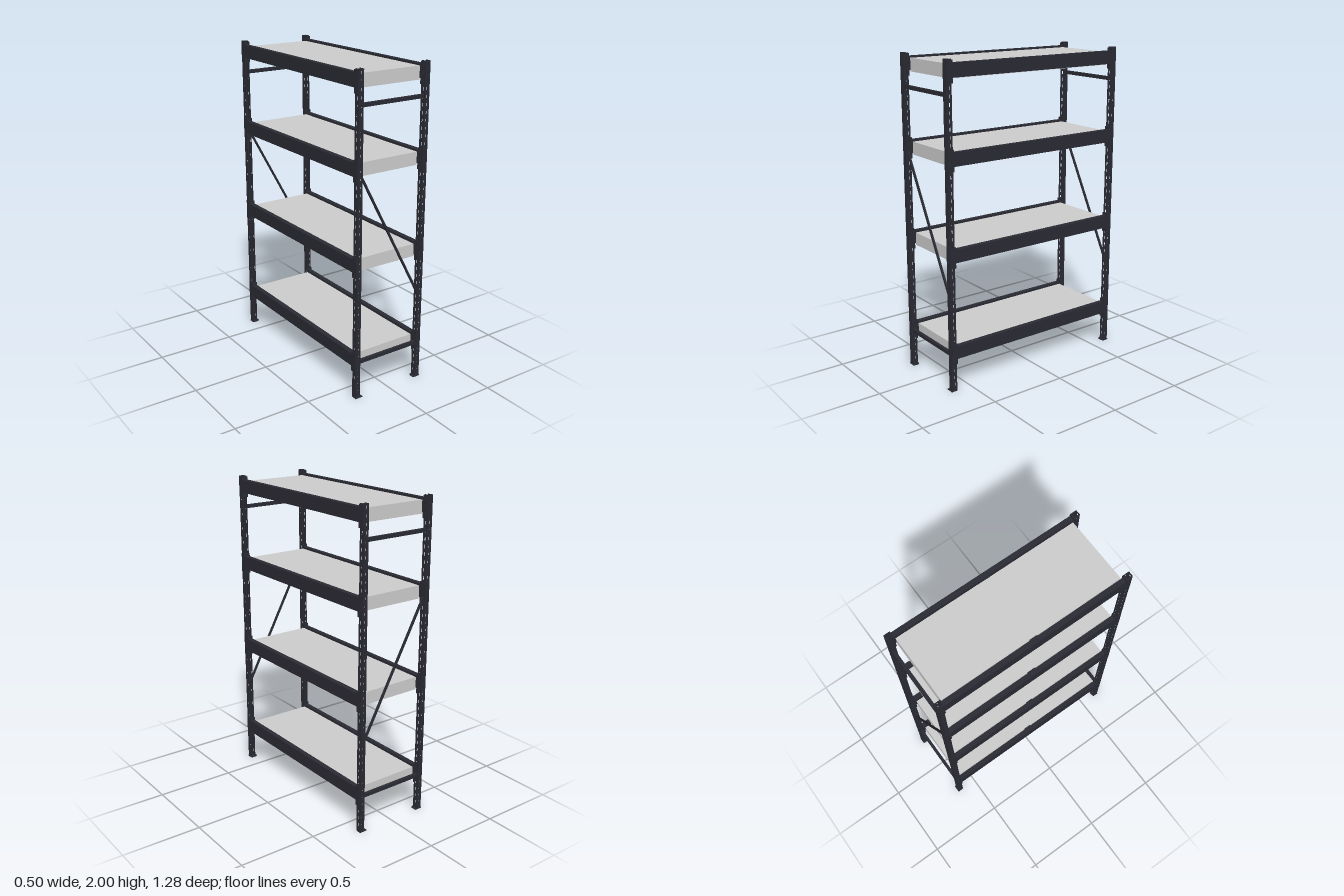
import * as THREE from 'three';

const steel = new THREE.MeshStandardMaterial({ color: 0x2a2a33 });
steel.name = 'dark steel';
const panel = new THREE.MeshStandardMaterial({ color: 0xcccccc });
panel.name = 'light grey panel';

const POST_X = 0.232, POST_Z = 0.619, POST_W = 0.032, POST_D = 0.036, WALL = 0.004;
const SHELF_BOTTOMS = [0.201, 0.81, 1.386, 1.888];

function box(parent, name, size, pos, material = steel) {
  const mesh = new THREE.Mesh(new THREE.BoxGeometry(...size), material);
  mesh.name = name;
  mesh.position.set(...pos);
  parent.add(mesh);
  return mesh;
}

// Upright strip with a row of punched slots, centred on x and z
function slottedPlate(width, slotWidth) {
  const shape = new THREE.Shape();
  const w = width / 2, s = slotWidth / 2;
  shape.moveTo(-w, 0).lineTo(w, 0).lineTo(w, 2).lineTo(-w, 2).closePath();
  for (let y = 0.035; y < 1.97; y += 0.046) {
    const hole = new THREE.Path();
    hole.moveTo(-s, y).lineTo(-s, y + 0.022).lineTo(s, y + 0.022).lineTo(s, y).closePath();
    shape.holes.push(hole);
  }
  const geo = new THREE.ExtrudeGeometry(shape, { depth: WALL, bevelEnabled: false });
  return geo.translate(0, 0, -WALL / 2);
}

export function createModel() {
  const rack = new THREE.Group();
  rack.name = 'shelvingRack';
  const faceGeo = slottedPlate(POST_W, 0.011);
  const sideGeo = slottedPlate(POST_D - WALL, 0.009).rotateY(Math.PI / 2);

  // Chamfered foot plate
  const foot = new THREE.Shape();
  foot.moveTo(-0.025, -0.022).lineTo(0.025, -0.022).lineTo(0.025, 0.012)
    .lineTo(0.016, 0.022).lineTo(-0.016, 0.022).lineTo(-0.025, 0.012).closePath();
  const footGeo = new THREE.ExtrudeGeometry(foot, { depth: 0.005, bevelEnabled: false }).rotateX(-Math.PI / 2);

  for (const sx of [-1, 1]) for (const sz of [-1, 1]) {
    // Channel post, open towards the inside of the rack
    const post = new THREE.Group();
    post.name = 'post';
    post.position.set(sx * POST_X, 0, sz * POST_Z);
    const face = new THREE.Mesh(faceGeo, steel);
    face.name = 'postFace';
    face.position.z = sz * (POST_D - WALL) / 2;
    post.add(face);
    for (const side of [-1, 1]) {
      const flange = new THREE.Mesh(sideGeo, steel);
      flange.name = 'postFlange';
      flange.position.set(side * (POST_W - WALL) / 2, 0, -sz * WALL / 2);
      post.add(flange);
    }
    const base = new THREE.Mesh(footGeo, steel);
    base.name = 'foot';
    base.position.x = -sx * 0.007;
    if (sz < 0) base.rotation.y = Math.PI;
    post.add(base);
    rack.add(post);

    // Beam end brackets wrapping the post
    for (const b of SHELF_BOTTOMS) {
      const y = b + 0.042;
      box(rack, 'bracketSide', [0.004, 0.13, 0.038], [sx * 0.250, y, sz * 0.614]);
      box(rack, 'bracketEnd', [0.039, 0.13, 0.006], [sx * 0.2325, y, sz * 0.598]);
    }
  }

  for (const b of SHELF_BOTTOMS) {
    // Shelf panel, long beams and mid-span clips
    box(rack, 'shelf', [0.424, 0.08, 1.178], [0, b + 0.04, 0], panel);
    for (const sx of [-1, 1]) {
      box(rack, 'beam', [0.032, 0.082, 1.2], [sx * 0.2345, b + 0.049, 0]);
      box(rack, 'beamClip', [0.008, 0.02, 0.05], [sx * 0.215, b + 0.072, 0]);
    }
  }

  // End struts and diagonal braces
  const dx = 0.44, dy = -0.82;
  for (const sz of [-1, 1]) {
    for (const y of [0.237, 1.8]) {
      box(rack, 'endStrut', [0.44, 0.022, 0.02], [0, y, sz * 0.62]);
    }
    const brace = box(rack, 'diagonalBrace', [Math.hypot(dx, dy), 0.012, 0.012], [0, 0.995, sz * 0.62]);
    brace.rotation.z = Math.atan2(dy, dx);
  }
  return rack;
}
